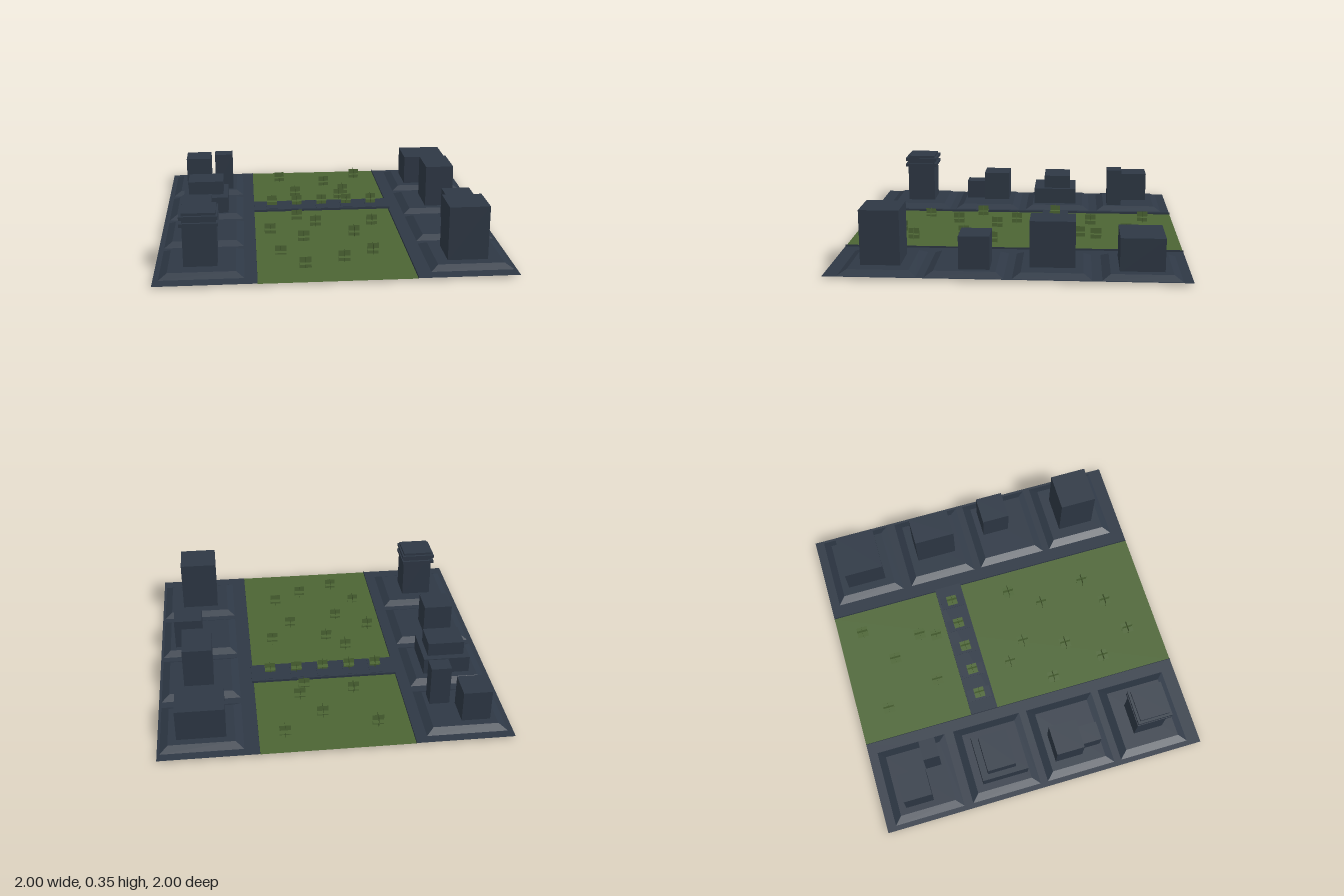
import * as THREE from 'three';

export function createModel() {
  const model = new THREE.Group();
  const slate = new THREE.MeshStandardMaterial({ color: 0x2e3845, side: THREE.DoubleSide });
  slate.name = 'slate';
  const green = new THREE.MeshStandardMaterial({ color: 0x4c6534, side: THREE.DoubleSide });
  green.name = 'grass green';

  const add = (name, geometry, material, parent = model) => {
    const mesh = new THREE.Mesh(geometry, material);
    mesh.name = name;
    parent.add(mesh);
    return mesh;
  };
  // Box given by its extents on each axis
  const block = (name, x0, x1, y0, y1, z0, z1, material = slate) =>
    add(name, new THREE.BoxGeometry(x1 - x0, y1 - y0, z1 - z0)
      .translate((x0 + x1) / 2, (y0 + y1) / 2, (z0 + z1) / 2), material);
  // Flat horizontal sheet
  const sheet = (name, x0, x1, z0, z1, y, material) =>
    add(name, new THREE.PlaneGeometry(x1 - x0, z1 - z0).rotateX(-Math.PI / 2)
      .translate((x0 + x1) / 2, y, (z0 + z1) / 2), material);

  // Ground: lawn between two paved strips, with low curb faces
  sheet('lawn', -0.435, 0.435, -1, 1, 0.012, green);
  for (const s of [-1, 1]) {
    sheet('pavedStrip', Math.min(s, s * 0.435), Math.max(s, s * 0.435), -1, 1, 0.014, slate);
    add('curb', new THREE.PlaneGeometry(2, 0.014).rotateY(Math.PI / 2)
      .translate(s * 0.435, 0.018, 0), slate);
  }
  block('crossPath', -0.435, 0.445, 0.014, 0.028, -0.32, -0.15);

  // Building pads with sloped sides
  const pad = (x0, x1, z0, z1) => {
    const w = x1 - x0, d = z1 - z0, bevel = 0.045;
    const g = new THREE.BoxGeometry(w, 0.024, d);
    const p = g.attributes.position;
    for (let i = 0; i < p.count; i++) {
      if (p.getY(i) > 0) {
        p.setX(i, p.getX(i) * (1 - 2 * bevel / w));
        p.setZ(i, p.getZ(i) * (1 - 2 * bevel / d));
      }
    }
    g.computeVertexNormals();
    add('buildingPad', g.translate((x0 + x1) / 2, 0.026, (z0 + z1) / 2), slate);
  };
  for (const z of [-0.945, -0.46, 0.016, 0.49]) {
    pad(-0.97, -0.505, z, z + 0.43);
    pad(0.52, 0.985, z, z + 0.43);
  }

  // Buildings: x0, x1, z0, z1, base, top
  const buildings = [
    ['rearBlock', -0.888, -0.722, -0.856, -0.684, 0.03, 0.225],
    ['rearSlimBlock', -0.69, -0.572, -0.68, -0.583, 0.03, 0.28],
    ['steppedBlockBase', -0.882, -0.6, -0.37, -0.086, 0.03, 0.14],
    ['steppedBlockTop', -0.85, -0.63, -0.33, -0.155, 0.14, 0.225],
    ['middleBlock', -0.872, -0.695, 0.096, 0.267, 0.03, 0.225],
    ['middleAnnex', -0.84, -0.727, 0.267, 0.39, 0.03, 0.16],
    ['ringedTower', -0.84, -0.652, 0.615, 0.797, 0.03, 0.35],
    ['wideBlock', 0.615, 0.893, -0.856, -0.61, 0.03, 0.225],
    ['tallBlock', 0.674, 0.85, -0.37, -0.118, 0.03, 0.3],
    ['smallBlock', 0.733, 0.907, 0.096, 0.267, 0.03, 0.225],
    ['frontTower', 0.631, 0.86, 0.594, 0.818, 0.03, 0.35],
  ];
  for (const [name, x0, x1, z0, z1, y0, y1] of buildings) block(name, x0, x1, y0, y1, z0, z1);
  for (const y of [0.275, 0.315]) block('towerRing', -0.855, -0.642, y, y + 0.02, 0.6, 0.813);

  // Trees made of three crossing square sheets
  const tree = (x, y, z, size) => {
    const g = new THREE.Group();
    g.name = 'tree';
    const quad = () => new THREE.PlaneGeometry(size, size);
    add('foliageFront', quad(), green, g);
    add('foliageSide', quad().rotateY(Math.PI / 2), green, g);
    add('foliageFlat', quad().rotateX(-Math.PI / 2), green, g);
    g.position.set(x, y + size / 2, z);
    model.add(g);
  };
  const lawnTrees = [
    [-0.25, -0.805], [0.285, -0.845], [0.055, -0.685], [-0.155, -0.465],
    [0.17, -0.495], [0.135, -0.395], [-0.17, 0.01], [-0.06, 0.13],
    [0.29, 0.135], [-0.345, 0.245], [-0.15, 0.385], [0.16, 0.32],
    [0.235, 0.62], [0.06, 0.72], [-0.165, 0.8],
  ];
  for (const [x, z] of lawnTrees) tree(x, 0.011, z, 0.067);
  tree(-0.295, 0, 0.59, 0.067);

  // Row of planted beds along the cross path
  for (let i = -2; i <= 2; i++) {
    const x = i * 0.162 + 0.005;
    block('planterBed', x - 0.038, x + 0.038, 0.009, 0.03, -0.308, -0.162);
    tree(x, 0.03, -0.235, 0.064);
  }
  return model;
}
